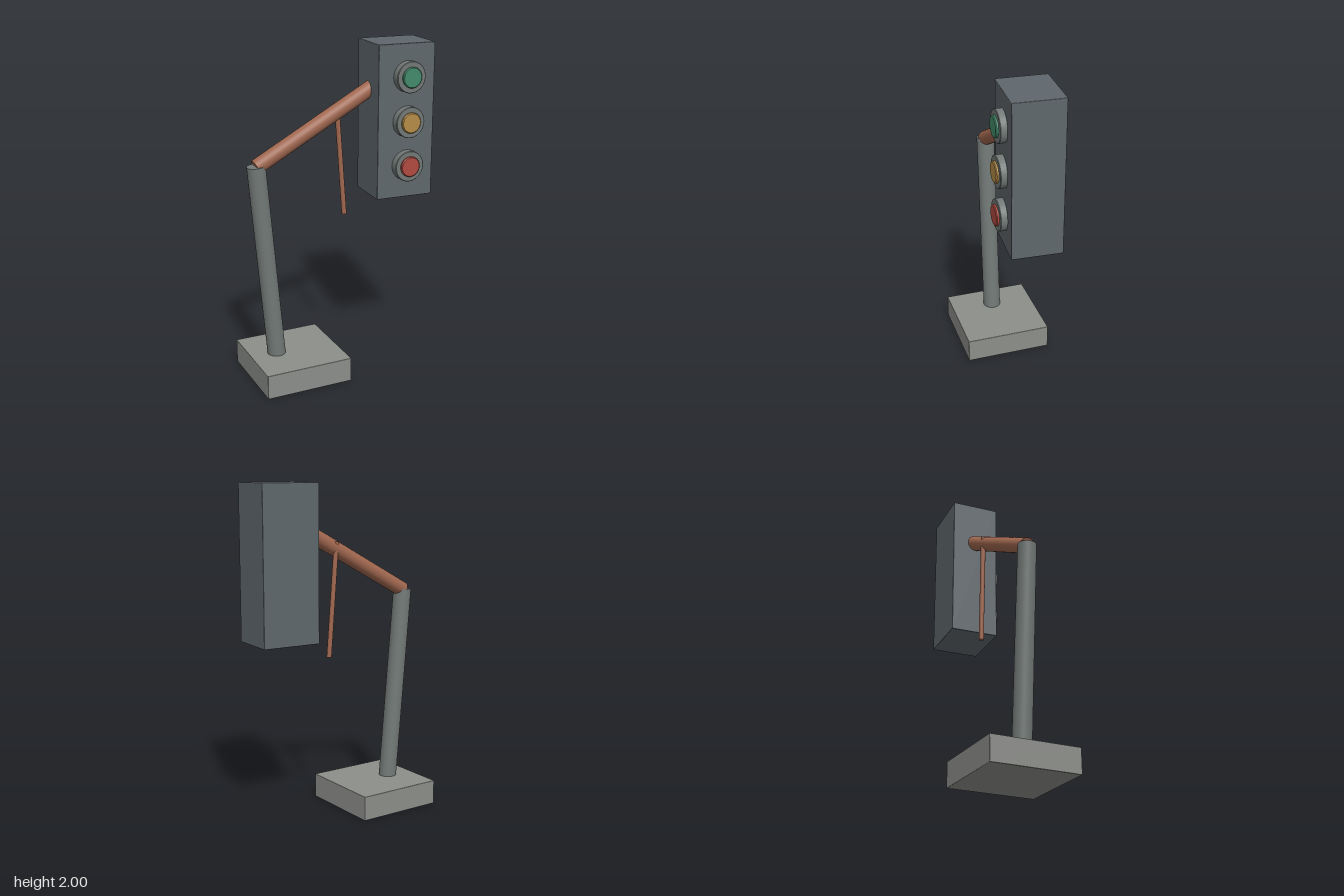
import * as THREE from 'three';
import { toCreasedNormals } from 'three/addons/utils/BufferGeometryUtils.js';
import { RoundedBoxGeometry } from 'three/addons/geometries/RoundedBoxGeometry.js';

const material = (color) => new THREE.MeshStandardMaterial({ color });

function addMesh(parent, name, geometry, mat) {
  const mesh = new THREE.Mesh(geometry, mat);
  mesh.name = name;
  parent.add(mesh);
  return mesh;
}

// Straight round bar between two points
function addBar(parent, name, from, to, radius, mat, sides = 32) {
  const a = new THREE.Vector3(...from);
  const b = new THREE.Vector3(...to);
  const dir = b.clone().sub(a);
  const bar = addMesh(parent, name, new THREE.CylinderGeometry(radius, radius, dir.length(), sides), mat);
  bar.position.copy(a).add(b).multiplyScalar(0.5);
  bar.quaternion.setFromUnitVectors(new THREE.Vector3(0, 1, 0), dir.normalize());
  return bar;
}

// Round disc facing +z with a small bevel on its front rim
function discGeometry(radius, back, front, bevel) {
  const profile = [
    [0, back], [radius, back], [radius, front - bevel], [radius - bevel, front], [0, front],
  ].map(([r, h]) => new THREE.Vector2(r, h));
  const disc = new THREE.LatheGeometry(profile, 40).rotateX(Math.PI / 2);
  return toCreasedNormals(disc, 0.5);
}

export function createModel() {
  const model = new THREE.Group();
  model.name = 'trafficLight';

  const concrete = material(0x8c8e8a);
  const steel = material(0x727976);
  const rust = material(0xa0674f);
  const casing = material(0x5f676c);

  // Square footing
  const base = addMesh(model, 'base', new RoundedBoxGeometry(0.54, 0.15, 0.536, 1, 0.004), concrete);
  base.position.set(-0.3, 0.075, 0);

  // Leaning pole, rusty arm and loose hanging rod
  addBar(model, 'pole', [-0.403, 0.1, 0], [-0.508, 1.34, 0], 0.055, steel);
  addBar(model, 'arm', [-0.508, 1.333, 0], [0.3, 1.773, 0], 0.046, rust);
  addBar(model, 'hangingRod', [0.058, 0.97, -0.02], [0.012, 1.655, -0.03], 0.015, rust, 16);

  // Signal casing, slightly twisted on the arm
  const box = addMesh(model, 'signalCasing', new RoundedBoxGeometry(0.355, 0.914, 0.296, 1, 0.004), casing);
  box.position.set(0.378, 1.543, 0.0125);
  box.rotation.y = -0.06;

  // Three lamps, each a collar with a coloured lens
  const collarGeometry = discGeometry(0.092, 0.12, 0.204, 0.003);
  const lensGeometry = discGeometry(0.061, 0.19, 0.219, 0.005);
  const lamps = [['green', 1.81, 0x428a6a], ['amber', 1.546, 0xb58c46], ['red', 1.283, 0xb04a40]];
  for (const [name, y, color] of lamps) {
    const lamp = new THREE.Group();
    lamp.name = `${name}Lamp`;
    lamp.position.set(0.377, y, 0);
    addMesh(lamp, `${name}Collar`, collarGeometry, steel);
    addMesh(lamp, `${name}Lens`, lensGeometry, material(color));
    model.add(lamp);
  }

  return model;
}
